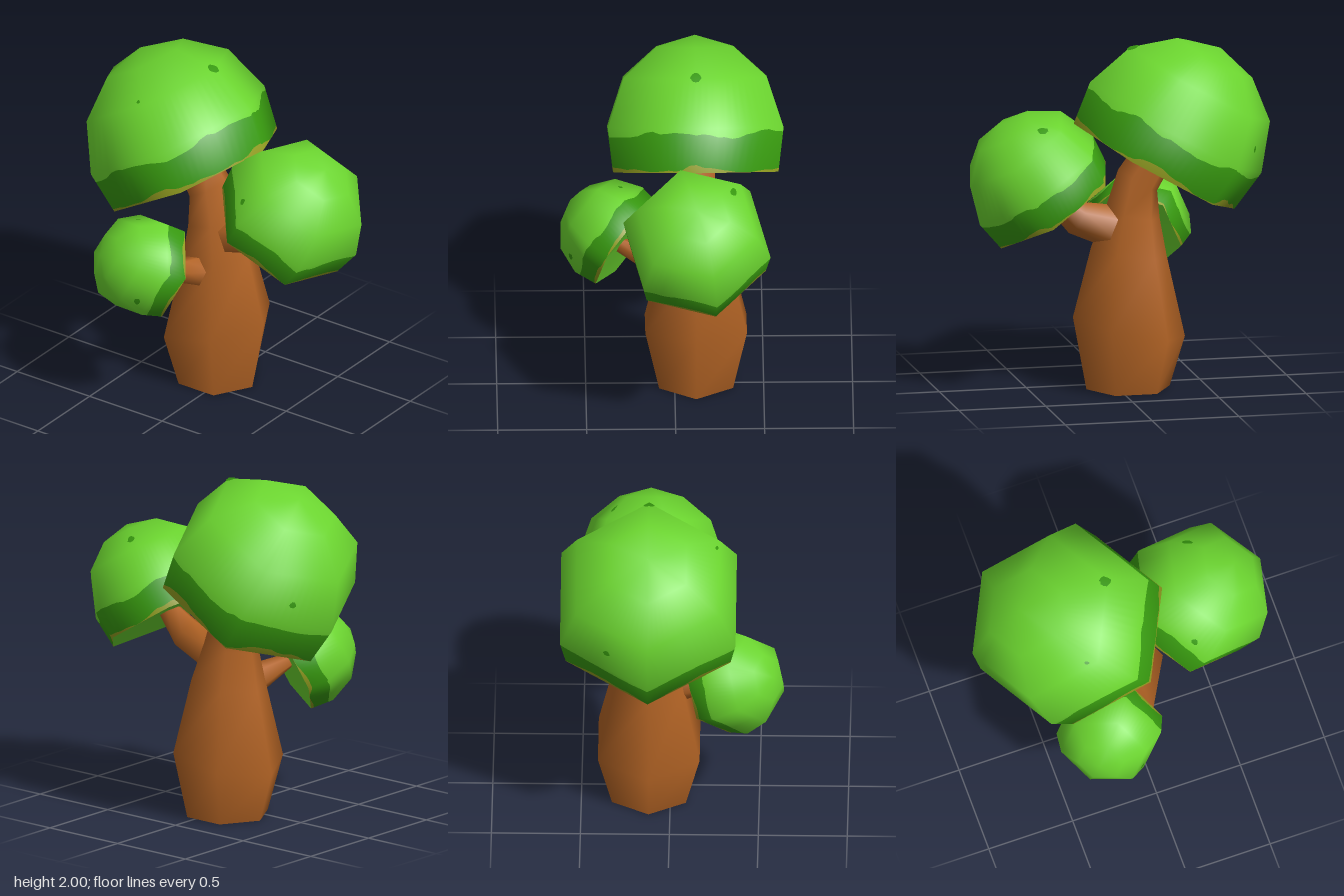
import * as THREE from 'three';

const SIDES = 6;
const UP = new THREE.Vector3(0, 1, 0);

const mat = (name, color, side = THREE.FrontSide) => {
  const m = new THREE.MeshStandardMaterial({ color, side });
  m.name = name;
  return m;
};

// Indexed surface; rows x columns of points, facing outward
function gridGeometry(rows, cols, closed, point, normal) {
  const pos = [], nor = [], idx = [];
  for (let j = 0; j < rows; j++) {
    for (let i = 0; i < cols; i++) {
      pos.push(...point(i, j));
      if (normal) nor.push(...normal(i, j));
    }
  }
  for (let j = 0; j < rows - 1; j++) {
    for (let i = 0; i < (closed ? cols : cols - 1); i++) {
      const a = j * cols + i, b = j * cols + (i + 1) % cols;
      idx.push(a, a + cols, b, b, a + cols, b + cols);
    }
  }
  const g = new THREE.BufferGeometry();
  g.setAttribute('position', new THREE.Float32BufferAttribute(pos, 3));
  g.setIndex(idx);
  if (normal) g.setAttribute('normal', new THREE.Float32BufferAttribute(nor, 3));
  else g.computeVertexNormals();
  return g;
}

// Six-sided limb through tilted rings: [x, y, z, radius, axis]
function limb(name, rings, material) {
  const group = new THREE.Group();
  group.name = name;
  const pts = rings.map(([x, y, z, r, axis]) => {
    const q = new THREE.Quaternion().setFromUnitVectors(UP, new THREE.Vector3(...axis).normalize());
    return Array.from({ length: SIDES }, (_, i) => {
      const a = i * Math.PI / 3;
      return new THREE.Vector3(r * Math.cos(a), 0, r * Math.sin(a)).applyQuaternion(q)
        .add(new THREE.Vector3(x, y, z));
    });
  });
  const side = new THREE.Mesh(gridGeometry(rings.length, SIDES, true, (i, j) => pts[j][i].toArray()), material);
  side.name = name + 'Side';
  group.add(side);
  // flat cap under the first ring
  const cap = new THREE.BufferGeometry().setFromPoints(pts[0]);
  cap.setIndex([0, 1, 2, 0, 2, 3, 0, 3, 4, 0, 4, 5]);
  cap.computeVertexNormals();
  const capMesh = new THREE.Mesh(cap, material);
  capMesh.name = name + 'Base';
  group.add(capMesh);
  return group;
}

// Dome profile: radius, height, and the slope normal (radial, up)
const PROFILE = [
  [0.535, 0, 0.99, -0.13], [0.57, 0.25, 0.97, 0.22], [0.465, 0.53, 0.77, 0.64],
  [0.25, 0.7, 0.4, 0.92], [0.001, 0.766, 0.001, 1],
];

// Point and smooth normal on the six-sided dome: a in corners (0..6), t in rings (0..4)
function domeSample(a, t, rot, offset = 0) {
  const c = Math.floor(a), f = a - c;
  const a0 = c * Math.PI / 3 + rot, a1 = a0 + Math.PI / 3;
  const dx = THREE.MathUtils.lerp(Math.cos(a0), Math.cos(a1), f);
  const dz = THREE.MathUtils.lerp(Math.sin(a0), Math.sin(a1), f);
  const k = Math.min(Math.floor(t), 3);
  const [r, y, nr, ny] = PROFILE[k].map((v, i) => THREE.MathUtils.lerp(v, PROFILE[k + 1][i], t - k));
  const n = new THREE.Vector3(dx * nr, ny, dz * nr).normalize();
  return { p: new THREE.Vector3(dx * r, y, dz * r).addScaledVector(n, offset).toArray(), n: n.toArray() };
}

function canopy(name, { centre, axis, scale, rot, seed, spots }, mats) {
  const group = new THREE.Group();
  group.name = name;
  const COLS = 72;
  let s = seed;
  const rand = () => (s = (s * 16807) % 2147483647) / 2147483647;
  // ragged colour borders around the dome
  const ragged = (base, wave, steps) => {
    const phase = rand() * 6;
    const jag = Array.from({ length: COLS / 2 }, () => (rand() - 0.5) * steps);
    return (i) => base + wave * Math.sin(i / COLS * Math.PI * 10 + phase) + jag[Math.floor((i % COLS) / 2)];
  };
  const high = ragged(0.86, 0.07, 0.1), lowRaw = ragged(0.08, 0.08, 0.08);
  const low = (i) => Math.max(0.005, lowRaw(i));
  const band = (label, rows, material) => {
    const at = (i, j) => domeSample(i / COLS * SIDES, rows[j](i), rot);
    const mesh = new THREE.Mesh(
      gridGeometry(rows.length, COLS, true, (i, j) => at(i, j).p, (i, j) => at(i, j).n), material);
    mesh.name = label;
    group.add(mesh);
  };
  band('leafTop', [high, () => 1, () => 2, () => 3, () => 4], mats.leaf);
  band('leafShadeBand', [low, high], mats.dark);
  band('leafEdge', [() => 0, low], mats.edge);

  // shallow hollow underside
  const under = new THREE.CircleGeometry(PROFILE[0][0], SIDES, rot).rotateX(Math.PI / 2);
  under.attributes.position.setY(0, 0.04);
  under.computeVertexNormals();
  const underside = new THREE.Mesh(under, mats.leaf);
  underside.name = 'leafUnderside';
  group.add(underside);

  // small dark leaf specks
  for (const [a, t, size] of spots) {
    const w = [0.45, 1, 0.8, 0.35];
    const at = (i, j) => domeSample(a + (i - 1) * size * w[j], t + (j - 1) * size, rot, 0.005);
    const speck = new THREE.Mesh(gridGeometry(4, 3, false, (i, j) => at(i, j).p, (i, j) => at(i, j).n), mats.dark);
    speck.name = 'leafSpeck';
    group.add(speck);
  }

  group.position.set(...centre);
  group.quaternion.setFromUnitVectors(UP, new THREE.Vector3(...axis).normalize());
  group.scale.setScalar(scale);
  return group;
}

export function createModel() {
  const tree = new THREE.Group();
  tree.name = 'tree';
  const bark = mat('bark brown', 0xb06224);
  const mats = {
    leaf: mat('leaf green', 0x6bd42f),
    dark: mat('dark leaf green', 0x37980f),
    edge: mat('olive leaf edge', 0x919c20),
  };

  // Trunk and branches
  const Z = -0.12;
  tree.add(limb('trunk', [
    [-0.06, 0, Z, 0.24, [0, 1, 0]],
    [-0.065, 0.35, Z, 0.33, [-0.21, 0.98, 0]],
    [-0.065, 0.785, Z, 0.22, [-0.16, 0.99, 0]],
    [-0.085, 1.0, Z, 0.16, [-0.2, 0.98, 0]],
    [-0.115, 1.19, Z, 0.13, [-0.5, 0.866, 0]],
    [-0.25, 1.4, Z, 0.115, [-0.5, 0.866, 0]],
  ], bark));
  tree.add(limb('sideBranch', [
    [0, 0.92, Z, 0.13, [1, 0.15, 0]],
    [0.23, 0.99, Z, 0.1, [0.85, 0.5, 0]],
    [0.36, 1.1, Z, 0.065, [0.75, 0.66, 0]],
    [0.46, 1.2, Z, 0.05, [0.7, 0.7, 0]],
  ], bark));
  tree.add(limb('frontBranch', [
    [-0.07, 0.72, -0.02, 0.11, [-0.2, 0.3, 0.93]],
    [-0.11, 0.775, 0.17, 0.07, [-0.2, 0.3, 0.93]],
    [-0.16, 0.83, 0.34, 0.035, [-0.3, 0.3, 0.9]],
  ], bark));

  // Leaf domes
  tree.add(canopy('largeCanopy', {
    centre: [-0.21, 1.265, Z], axis: [-0.5, 0.866, 0], scale: 1, rot: 0, seed: 11,
    spots: [[6, 2, 0.08], [1.1, 2.1, 0.03], [3.5, 1.4, 0.04]],
  }, mats));
  tree.add(canopy('mediumCanopy', {
    centre: [0.37, 1.07, Z], axis: [0.549, 0.836, 0], scale: 0.75, rot: -Math.PI / 12, seed: 37,
    spots: [[4.1, 2.4, 0.09], [2.3, 1.2, 0.05]],
  }, mats));
  tree.add(canopy('smallCanopy', {
    centre: [-0.175, 0.81, 0.265], axis: [-0.47, 0.42, 0.775], scale: 0.535, rot: Math.PI / 12, seed: 71,
    spots: [[0.8, 1.4, 0.07], [4.4, 1.5, 0.05]],
  }, mats));
  return tree;
}
